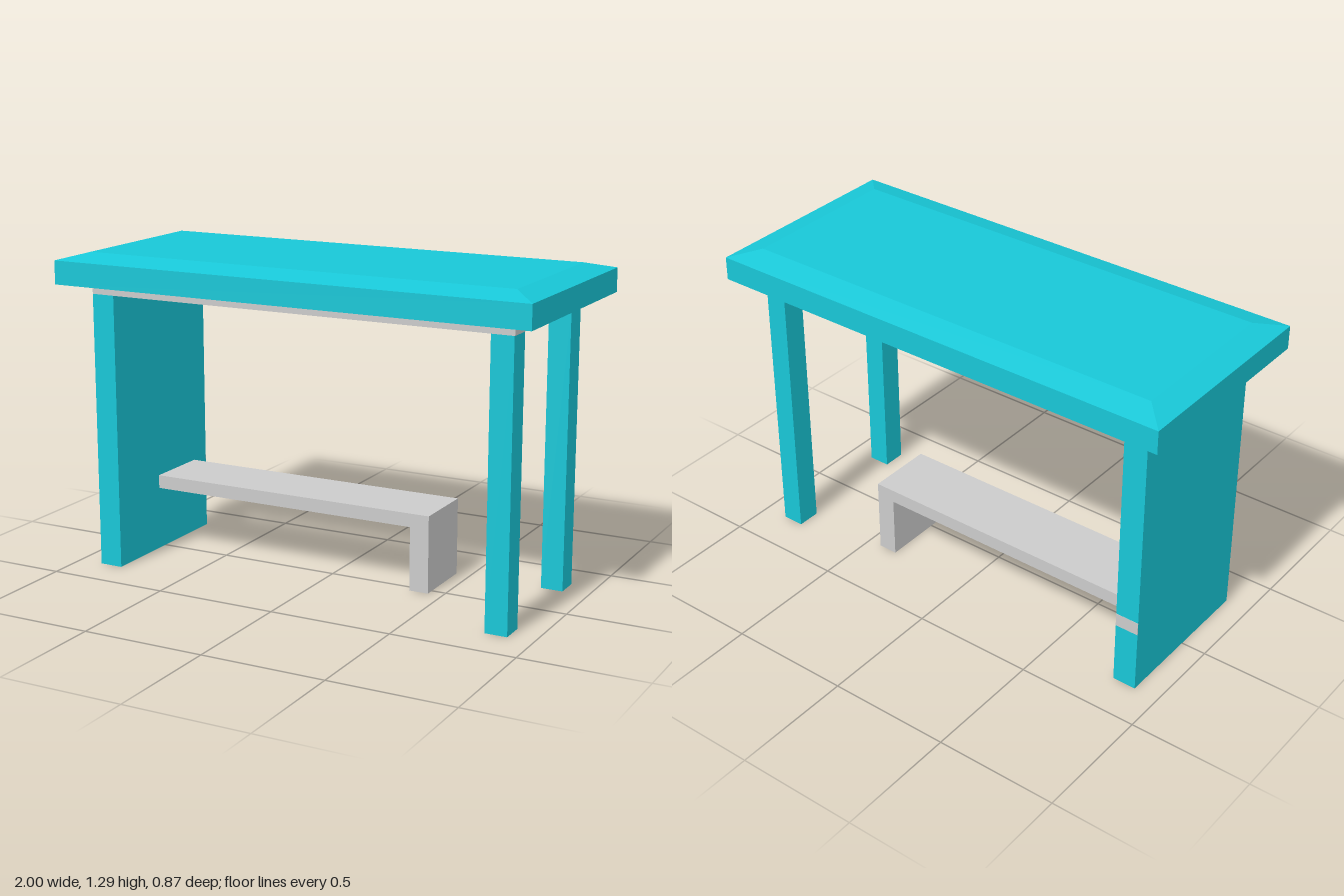
import * as THREE from 'three';

const teal = new THREE.MeshStandardMaterial({ color: 0x18c7d7 });
const grey = new THREE.MeshStandardMaterial({ color: 0xcccccc });

// Box between two corners; materials may be one or six (+x -x +y -y +z -z)
function block(name, [x0, y0, z0], [x1, y1, z1], material) {
  const mesh = new THREE.Mesh(new THREE.BoxGeometry(x1 - x0, y1 - y0, z1 - z0), material);
  mesh.position.set((x0 + x1) / 2, (y0 + y1) / 2, (z0 + z1) / 2);
  mesh.name = name;
  return mesh;
}

// Flat-faced closed solid through rectangular rings [halfX, y, halfZ], bottom to top
function loftRectangles(rings) {
  const corners = rings.map(([x, y, z]) => [[-x, y, z], [x, y, z], [x, y, -z], [-x, y, -z]]);
  const positions = [];
  const quad = (a, b, c, d) => positions.push(...a, ...b, ...c, ...a, ...c, ...d);
  for (let r = 0; r < corners.length - 1; r++) {
    const low = corners[r], high = corners[r + 1];
    for (let i = 0; i < 4; i++) {
      const j = (i + 1) % 4;
      quad(low[i], low[j], high[j], high[i]);
    }
  }
  const [a, b, c, d] = corners[0];
  quad(d, c, b, a);
  quad(...corners[corners.length - 1]);
  const geometry = new THREE.BufferGeometry();
  geometry.setAttribute('position', new THREE.Float32BufferAttribute(positions, 3));
  geometry.computeVertexNormals();
  return geometry;
}

export function createModel() {
  const model = new THREE.Group();
  model.name = 'table';
  const greyBottom = [teal, teal, teal, grey, teal, teal];
  const tealBottom = [grey, grey, grey, teal, grey, grey];

  // Table top with bevelled upper and lower edges
  const top = new THREE.Mesh(loftRectangles([
    [0.9, 1.155, 0.33], [1, 1.165, 0.435], [1, 1.26, 0.435], [0.9, 1.287, 0.33],
  ]), teal);
  top.name = 'tableTop';
  model.add(top);

  // Grey band under the top
  model.add(block('rim', [-0.897, 1.12, -0.33], [0.897, 1.156, 0.33], tealBottom));

  // Solid end panel, with a grey inlay on its back edge
  model.add(block('endPanel', [-0.897, 0, -0.33], [-0.8, 1.12, 0.33], greyBottom));
  model.add(block('panelInlay', [-0.897, 0.26, -0.331], [-0.8, 0.315, -0.329], grey));

  // Two square legs at the other end
  for (const side of [-1, 1]) {
    const z = side * 0.281;
    model.add(block(side > 0 ? 'frontLeg' : 'backLeg',
      [0.805, 0, z - 0.049], [0.895, 1.12, z + 0.049], greyBottom));
  }

  // Bench: an L-shaped profile running out from the end panel
  const profile = new THREE.Shape([
    [-0.8, 0.26], [0.36, 0.26], [0.36, 0], [0.44, 0], [0.44, 0.315], [-0.8, 0.315],
  ].map(([x, y]) => new THREE.Vector2(x, y)));
  const bench = new THREE.Mesh(
    new THREE.ExtrudeGeometry(profile, { depth: 0.275, bevelEnabled: false }), grey);
  bench.position.z = -0.237;
  bench.name = 'bench';
  model.add(bench);

  return model;
}
